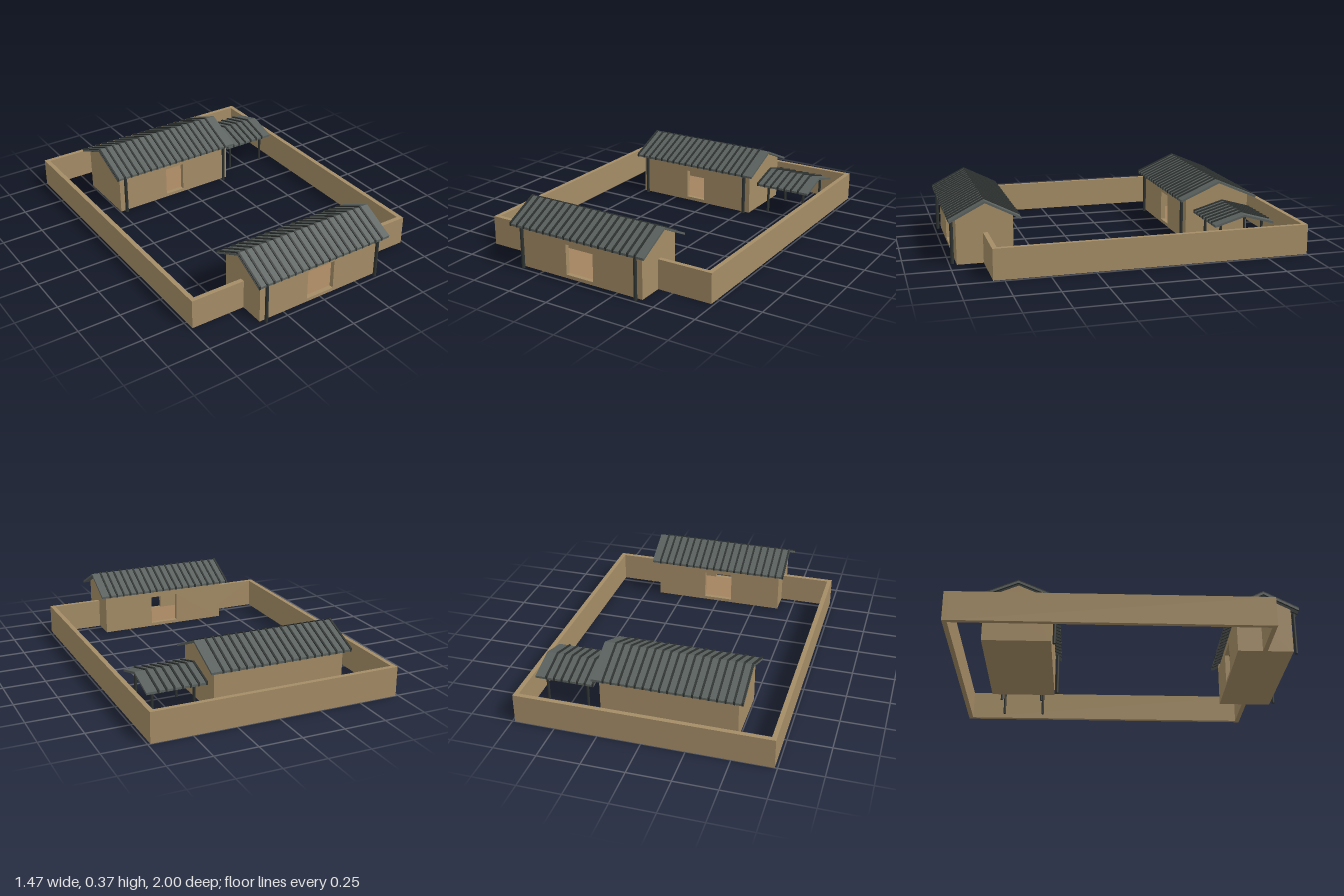
import * as THREE from 'three';

const mat = (name, color) => {
  const m = new THREE.MeshStandardMaterial({ color });
  m.name = name;
  return m;
};

export function createModel() {
  const clay = mat('clay wall', 0xa48c66);
  const timber = mat('wooden floor', 0xa4835f);
  const tile = mat('roof tile', 0x59605d);
  const dark = mat('dark timber', 0x2e3331);
  const T = 0.027; // wall thickness

  const add = (parent, name, geo, material, x = 0, y = 0, z = 0) => {
    const m = new THREE.Mesh(geo, material);
    m.name = name;
    m.position.set(x, y, z);
    parent.add(m);
    return m;
  };
  const block = (parent, name, material, x0, x1, y0, y1, z0, z1) =>
    add(parent, name, new THREE.BoxGeometry(x1 - x0, y1 - y0, z1 - z0), material,
      (x0 + x1) / 2, (y0 + y1) / 2, (z0 + z1) / 2);

  // Outline drawn in the (z, y) plane, extruded along x from 0 to width
  const alongX = (points, width) => {
    const shape = new THREE.Shape(points.map(([u, v]) => new THREE.Vector2(u, v)));
    return new THREE.ExtrudeGeometry(shape, { depth: width, bevelEnabled: false }).rotateY(Math.PI / 2);
  };
  const chevron = (half, eave, ridge, thick) => [
    [-half, eave - thick], [0, ridge - thick], [half, eave - thick],
    [half, eave], [0, ridge], [-half, eave],
  ];

  // Gabled roof: one folded slab with evenly spaced ribs over it
  const roof = (parent, x0, x1, half, eave, ridge) => {
    const g = new THREE.Group();
    g.name = 'roof';
    add(g, 'roofSlab', alongX(chevron(half, eave, ridge, 0.013), x1 - x0), tile, x0);
    const step = 0.046;
    const rib = alongX(chevron(half + 0.001, eave + 0.007, ridge + 0.007, 0.021), 0.011);
    for (let i = 0; i < Math.floor((x1 - x0) / step); i++)
      add(g, 'roofRib', rib, dark, x0 + 0.001 + i * step);
    parent.add(g);
  };

  // Long wall, with a doorway if door = [x0, x1] is given
  const longWall = (parent, name, x0, x1, z, door) => {
    const s = new THREE.Shape([[x0, 0], [x1, 0], [x1, 0.24], [x0, 0.24]].map(p => new THREE.Vector2(...p)));
    if (door) {
      const [a, b] = door;
      s.holes.push(new THREE.Path([[a, 0.02], [a, 0.2], [b, 0.2], [b, 0.02]].map(p => new THREE.Vector2(...p))));
    }
    add(parent, name, new THREE.ExtrudeGeometry(s, { depth: T, bevelEnabled: false }), clay, 0, 0, z);
  };

  // Hollow house: two long walls, two gables, floor, roof and front posts
  const house = ({ name, x0, x1, z, half, roofX, roofHalf, door, backDoor, postX, postZ }) => {
    const g = new THREE.Group();
    g.name = name;
    g.position.z = z;
    const eave = 0.26, ridge = 0.362;
    longWall(g, 'frontWall', x0, x1, half - T, door);
    longWall(g, 'backWall', x0, x1, -half, backDoor);
    const top = ridge - 0.013, side = top - (ridge - eave) * half / roofHalf;
    const gable = alongX([[-half, 0], [half, 0], [half, side], [0, top], [-half, side]], T);
    add(g, 'gableWall', gable, clay, x0);
    add(g, 'gableWall', gable, clay, x1 - T);
    block(g, 'floor', timber, x0 + T, x1 - T, 0.001, 0.02, -half + T, half - T);
    block(g, 'floorBase', clay, x0 + T, x1 - T, 0, 0.001, -half + T, half - T);
    roof(g, roofX[0], roofX[1], roofHalf, eave, ridge);
    for (const x of postX)
      add(g, 'post', new THREE.CylinderGeometry(0.01, 0.01, 0.255, 10), dark, x, 0.1275, postZ);
    return g;
  };

  const model = new THREE.Group();
  model.name = 'walledCourtyard';

  // Courtyard wall, open at the front where the gatehouse stands
  const W = 0.735, H = 0.175, zb = -1, zf = 0.81;
  block(model, 'backBoundary', clay, -W, W, 0, H, zb, zb + T);
  for (const s of [-1, 1]) {
    const sideX = [s * W, s * (W - T)].sort((a, b) => a - b);
    const frontX = [s * (W - T), s * 0.408].sort((a, b) => a - b);
    block(model, 'sideBoundary', clay, ...sideX, 0, H, zb + T, zf);
    block(model, 'frontBoundary', clay, ...frontX, 0, H, zf - T, zf);
  }

  // Gatehouse with a passage through it
  model.add(house({
    name: 'gatehouse', x0: -0.408, x1: 0.408, z: 0.8, half: 0.16,
    roofX: [-0.445, 0.445], roofHalf: 0.2,
    door: [-0.09, 0.09], backDoor: [-0.09, 0.09], postX: [-0.378, 0.378], postZ: 0.181,
  }));

  // Main house at the back
  model.add(house({
    name: 'mainHouse', x0: -0.493, x1: 0.298, z: -0.616, half: 0.195,
    roofX: [-0.527, 0.33], roofHalf: 0.235,
    door: [-0.16, -0.035], postX: [-0.46, 0.265], postZ: 0.212,
  }));

  // Open shelter beside the main house
  const shelter = new THREE.Group();
  shelter.name = 'openShelter';
  shelter.position.z = -0.634;
  roof(shelter, 0.332, 0.68, 0.176, 0.193, 0.244);
  for (const x of [0.39, 0.63])
    for (const z of [-0.125, 0.125])
      add(shelter, 'shelterPost', new THREE.CylinderGeometry(0.008, 0.008, 0.194, 10), dark, x, 0.097, z);
  model.add(shelter);

  return model;
}
